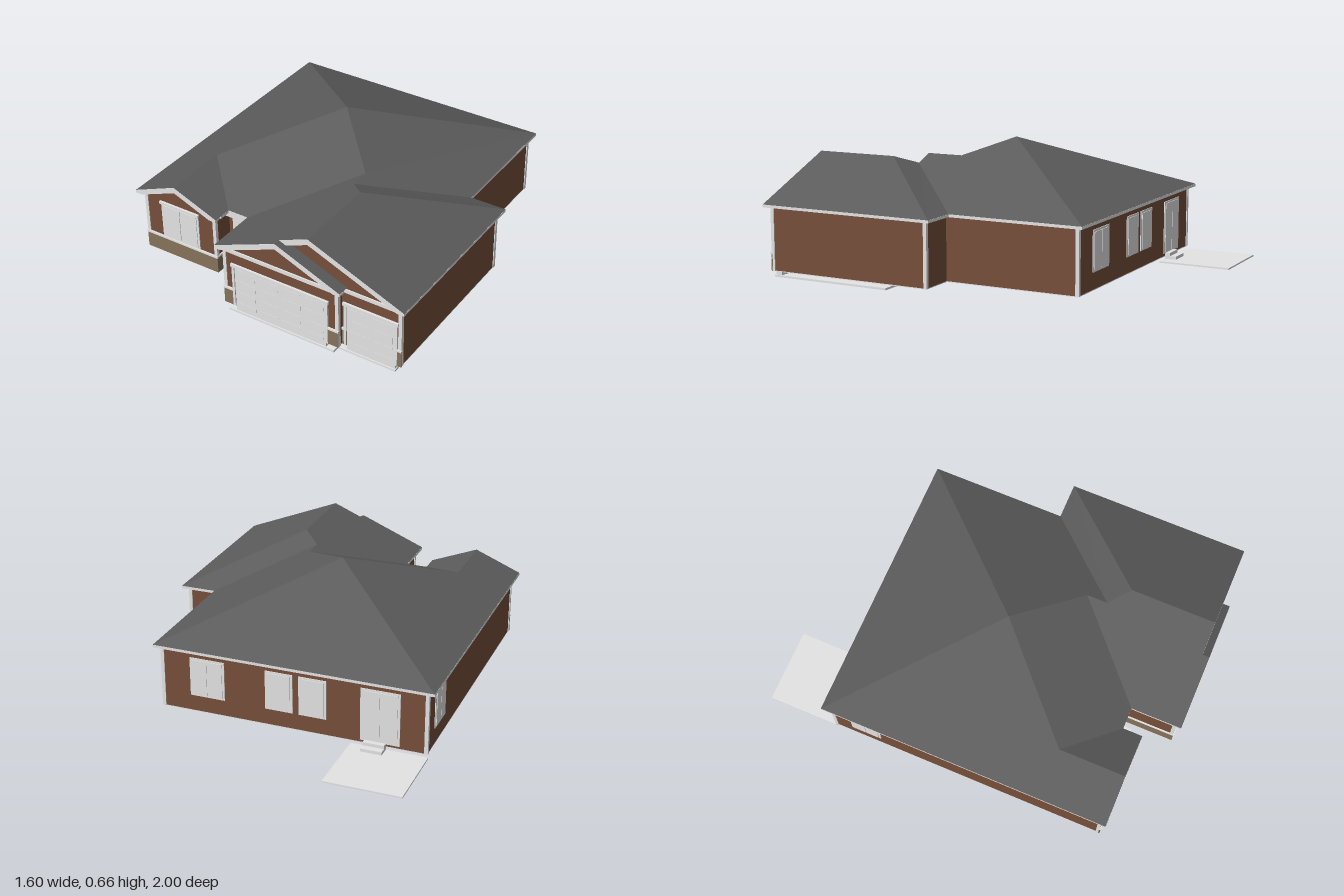
import * as THREE from 'three';

const mat = (name, color, extra = {}) => Object.assign(new THREE.MeshStandardMaterial({ color, ...extra }), { name });

export function createModel() {
  const house = new THREE.Group();
  house.name = 'house';
  const siding = mat('brown siding', 0x774f3a);
  const stone = mat('tan stone', 0x86735a);
  const pale = mat('pale trim and concrete', 0xe4e4e4);
  const shingle = mat('grey shingle', 0x5c5c5c, { side: THREE.DoubleSide });

  const add = (name, geo, material, parent = house) => {
    const m = new THREE.Mesh(geo, material);
    m.name = name;
    parent.add(m);
    return m;
  };
  // Box given by its limits
  const box = (name, material, x0, x1, y0, y1, z0, z1, parent) => {
    const g = new THREE.BoxGeometry(x1 - x0, y1 - y0, z1 - z0);
    g.translate((x0 + x1) / 2, (y0 + y1) / 2, (z0 + z1) / 2);
    return add(name, g, material, parent);
  };
  const shapeOf = pts => new THREE.Shape(pts.map(([a, b]) => new THREE.Vector2(a, b)));
  // Floor-plan outline (x, z) raised from y0 to y1
  const plan = (name, material, pts, y0, y1) => {
    const g = new THREE.ExtrudeGeometry(shapeOf(pts.map(([x, z]) => [x, -z])), { depth: y1 - y0, bevelEnabled: false });
    g.rotateX(-Math.PI / 2).translate(0, y0, 0);
    return add(name, g, material);
  };
  // Front outline (x, y) extruded from z0 to z1
  const front = (name, material, pts, z0, z1) => {
    const g = new THREE.ExtrudeGeometry(shapeOf(pts), { depth: z1 - z0, bevelEnabled: false });
    return add(name, g.translate(0, 0, z0), material);
  };

  // Foundation and walls
  const footprint = [[-0.765, -0.63], [0.58, -0.63], [0.58, 0.06], [0.765, 0.06], [0.765, 0.935], [0.455, 0.935],
    [0.455, 0.97], [-0.175, 0.97], [-0.175, 0.7], [-0.345, 0.7], [-0.345, 0.81], [-0.765, 0.81]];
  plan('walls', siding, footprint, 0.038, 0.356);
  plan('floorSlab', pale, footprint, 0.034, 0.038);
  box('floorOpening', shingle, -0.14, 0.22, 0.0325, 0.034, -0.035, 0.025);
  plan('garageFloor', pale, [[-0.155, 0.3], [0.74, 0.3], [0.74, 0.945], [0.435, 0.945], [0.435, 0.98], [-0.155, 0.98]], 0, 0.01);

  // Roof: each corner is x, z and its run inward from the eave
  const EAVE = 0.367, PITCH = 0.409;
  const P = [-0.095, 0.04, 0.705], G = [-0.56, 0.5, 0.24], GF = [-0.56, 0.84, 0.24];
  const Q = [0.2, 0.335, 0.405], R = [0.2, 0.44, 0.405], S = [0.295, 0.53, 0.5], SF = [0.295, 0.965, 0.5];
  const A = [-0.8, -0.66, 0], B = [0.61, -0.66, 0], C = [0.61, 0.03, 0], D = [0.795, 0.03, 0];
  const roof = new THREE.Group();
  roof.name = 'roof';
  house.add(roof);
  const slopes = {
    backSlope: [P, B, A],
    leftSlope: [A, [-0.8, 0.84, 0], GF, G, P],
    smallGableSlope: [G, GF, [-0.315, 0.84, 0], [-0.315, 0.74, 0]],
    frontSlope: [P, G, [-0.315, 0.74, 0], [-0.205, 0.74, 0], Q],
    rightSlope: [B, P, Q, R, C],
    garageLeftSlope: [[-0.205, 0.965, 0], SF, S, R, Q, [-0.205, 0.74, 0]],
    garageBackSlope: [R, S, D, C],
    garageRightSlope: [S, SF, [0.795, 0.965, 0], D],
    frontGableLeft: [[-0.205, 0.965, 0], [-0.205, 1, 0], [0.14, 1, 0.345], [0.14, 0.965, 0.345]],
    frontGableRight: [[0.14, 0.94, 0.345], [0.14, 1, 0.345], [0.485, 1, 0], [0.485, 0.94, 0]],
  };
  for (const [name, pts] of Object.entries(slopes)) {
    const v = [];
    const put = ([x, z, run]) => v.push(x, EAVE + run * PITCH, z);
    for (let i = 1; i < pts.length - 1; i++) [pts[0], pts[i], pts[i + 1]].forEach(put);
    const g = new THREE.BufferGeometry();
    g.setAttribute('position', new THREE.Float32BufferAttribute(v, 3));
    g.computeVertexNormals();
    add(name, g, shingle, roof);
  }

  // Eave boards and soffit
  plan('eaves', pale, [[-0.8, -0.66], [0.61, -0.66], [0.61, 0.03], [0.795, 0.03], [0.795, 0.93], [0.45, 0.93],
    [0.45, 0.96], [-0.205, 0.96], [-0.205, 0.74], [-0.315, 0.74], [-0.315, 0.8], [-0.8, 0.8]], 0.353, 0.3665);

  // Gable walls and their sloping boards: eave x0, x1, wall z
  for (const [x0, x1, z] of [[-0.8, -0.32, 0.81], [-0.205, 0.485, 0.97], [-0.205, 0.795, 0.935]]) {
    const xm = (x0 + x1) / 2, lo = EAVE - 0.0008, top = lo + (x1 - x0) / 2 * PITCH, end = 0.353, t = 0.03;
    front('gableWall', siding, [[x0 + 0.032, 0.352], [x1 - 0.032, 0.352], [x1 - 0.032, lo + 0.008], [xm, top - 0.006], [x0 + 0.032, lo + 0.008]], z - 0.06, z);
    front('gableBoards', pale, [[x0, end], [x0 + 0.037, end], [xm, top - t], [x1 - 0.037, end],
      [x1, end], [x1, lo], [xm, top], [x0, lo]], z - 0.005, z + 0.0305);
  }
  box('gableBand', pale, -0.175, 0.455, 0.335, 0.354, 0.96, 0.977);
  box('gableBand', pale, 0.455, 0.765, 0.335, 0.354, 0.93, 0.942);

  // Corner boards: outer corner with the direction inward
  for (const [x, z, sx, sz] of [[-0.765, -0.63, 1, 1], [0.58, -0.63, -1, 1], [0.765, 0.06, -1, 1], [0.765, 0.935, -1, -1],
    [0.455, 0.97, -1, -1], [-0.175, 0.97, 1, -1], [-0.345, 0.81, -1, -1], [-0.765, 0.81, 1, -1]]) {
    const xs = [x - sx * 0.004, x + sx * 0.014].sort((a, b) => a - b), zs = [z - sz * 0.004, z + sz * 0.014].sort((a, b) => a - b);
    box('cornerBoard', pale, xs[0], xs[1], 0.036, 0.354, zs[0], zs[1]);
  }

  // Stone skirt with a sill on top
  for (const [x0, x1, z0, z1] of [[-0.769, -0.34, 0.808, 0.816], [-0.18, -0.115, 0.966, 0.976], [0.39, 0.459, 0.966, 0.976],
    [0.456, 0.48, 0.933, 0.941], [0.735, 0.769, 0.933, 0.941], [-0.346, -0.34, 0.7, 0.81], [-0.18, -0.174, 0.7, 0.97]]) {
    box('stoneSkirt', stone, x0, x1, 0.035, 0.12, z0, z1);
    box('stoneSill', pale, x0 - 0.002, x1 + 0.002, 0.12, 0.13, z0, z1 + 0.004);
  }

  // Garage doors with raised panels: x0, x1, wall z, panel columns
  for (const [x0, x1, z, cols] of [[-0.115, 0.39, 0.97, 4], [0.48, 0.735, 0.935, 2]]) {
    const door = new THREE.Group();
    door.name = 'garageDoor';
    house.add(door);
    box('doorLeaf', pale, x0, x1, 0.008, 0.262, z - 0.03, z + 0.003, door);
    box('doorHead', pale, x0 - 0.018, x1 + 0.018, 0.262, 0.277, z, z + 0.012, door);
    for (const x of [x0 - 0.013, x1]) box('doorJamb', pale, x, x + 0.013, 0.036, 0.262, z, z + 0.009, door);
    const w = (x1 - x0) / cols, h = 0.0635;
    for (let r = 0; r < 4; r++) for (let c = 0; c < cols; c++)
      box('doorPanel', pale, x0 + c * w + 0.012, x0 + (c + 1) * w - 0.012, 0.008 + r * h + 0.012, 0.008 + (r + 1) * h - 0.012, z, z + 0.0042, door);
  }

  // Windows and glazed doors, made facing +z and then turned onto the wall
  const opening = (name, w, y0, y1, panes, x, z, turn) => {
    const g = new THREE.Group();
    g.name = name;
    const a = w / 2, f = 0.01;
    box('frame', pale, -a, a, y0, y1, -0.005, 0.004, g);
    const pw = (w - 2 * f) / panes;
    for (let i = 0; i < panes; i++)
      box('pane', pale, -a + f + i * pw + 0.002, -a + f + (i + 1) * pw - 0.002, y0 + f, y1 - f, 0, 0.007, g);
    g.position.set(x, 0, z);
    g.rotation.y = turn;
    house.add(g);
  };
  opening('frontWindow', 0.225, 0.13, 0.325, 2, -0.557, 0.81, 0);
  box('frontWindowHead', pale, -0.675, -0.44, 0.322, 0.335, 0.805, 0.822);
  opening('backWindow', 0.18, 0.12, 0.32, 2, 0.34, -0.63, Math.PI);
  opening('backWindow', 0.14, 0.12, 0.32, 1, -0.03, -0.63, Math.PI);
  opening('backWindow', 0.14, 0.12, 0.32, 1, -0.2, -0.63, Math.PI);
  opening('patioDoor', 0.195, 0.05, 0.32, 2, -0.535, -0.63, Math.PI);
  opening('sideWindow', 0.16, 0.12, 0.32, 2, -0.765, -0.45, -Math.PI / 2);

  // Entry door, beam and steps
  opening('entryDoor', 0.125, 0.055, 0.325, 1, -0.26, 0.7, 0);
  box('entryBeam', pale, -0.345, -0.175, 0.325, 0.356, 0.7, 0.735);
  box('entryThreshold', pale, -0.345, -0.175, 0.034, 0.05, 0.69, 0.72);
  box('entryStepUpper', pale, -0.315, -0.205, 0.025, 0.04, 0.7, 0.745);
  box('entryStepLower', pale, -0.315, -0.205, 0.012, 0.027, 0.71, 0.772);

  // Back patio and steps
  box('patio', pale, -0.77, -0.39, 0.013, 0.021, -1, -0.63);
  box('patioStepLower', pale, -0.565, -0.46, 0.021, 0.037, -0.69, -0.63);
  box('patioStepUpper', pale, -0.565, -0.46, 0.037, 0.054, -0.658, -0.63);

  return house;
}
